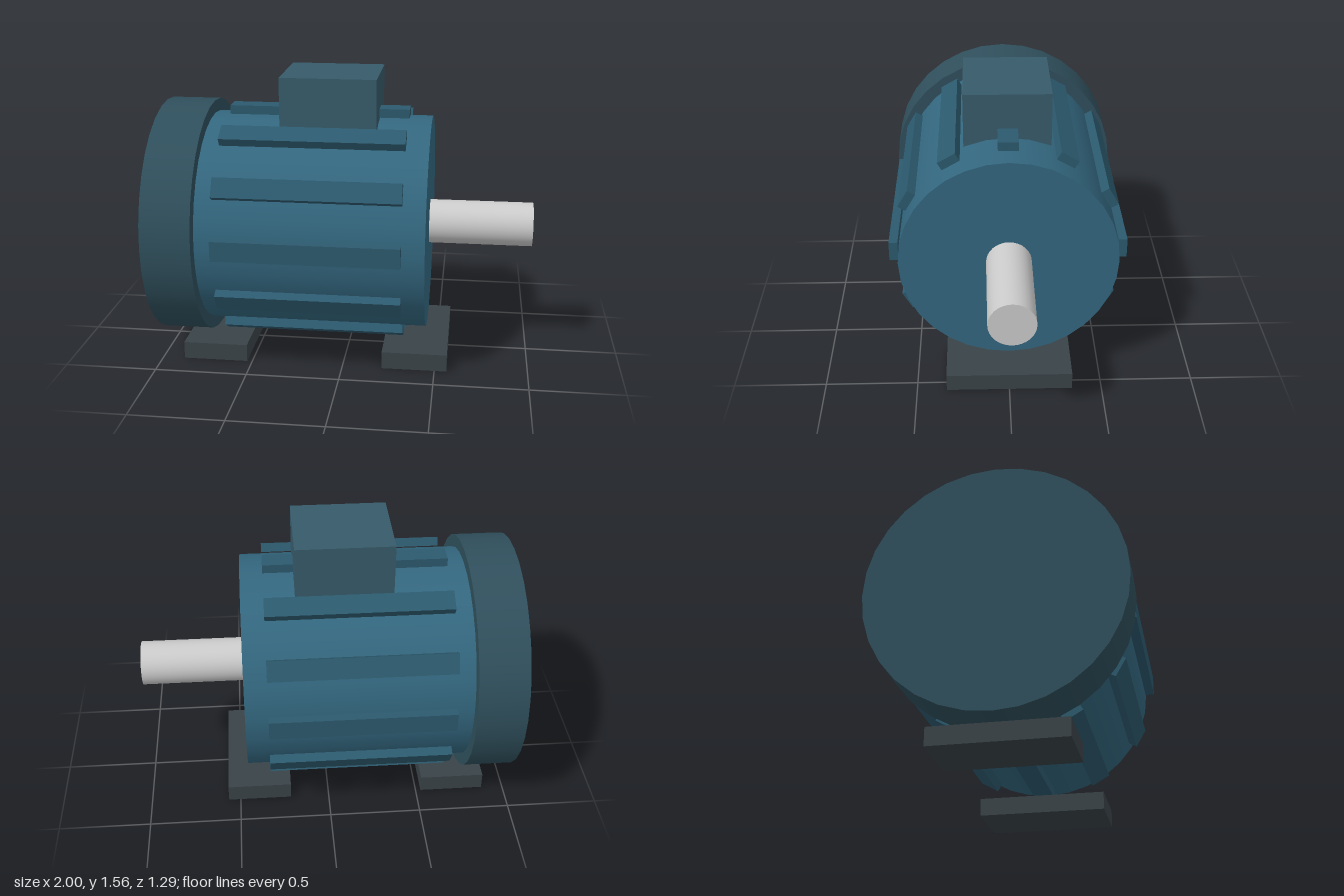
import * as THREE from 'three';

const AXIS_Y = 0.742;

const paint = (color) => new THREE.MeshStandardMaterial({ color });

export function createModel() {
  const motor = new THREE.Group();
  motor.name = 'electricMotor';

  const bodyPaint = paint(0x33677f);
  const finPaint = paint(0x2c5a6e);
  const coverPaint = paint(0x2f4f5c);
  const boxPaint = paint(0x375b6a);
  const footPaint = paint(0x394348);
  const steel = paint(0xcccccc);

  function add(parent, name, geometry, material, x, y, z) {
    const mesh = new THREE.Mesh(geometry, material);
    mesh.name = name;
    mesh.position.set(x, y, z);
    parent.add(mesh);
    return mesh;
  }

  // Cylinder lying along x between two stations, on the motor axis
  function drum(name, radius, x0, x1, material) {
    const geometry = new THREE.CylinderGeometry(radius, radius, x1 - x0, 32);
    geometry.rotateZ(-Math.PI / 2);
    return add(motor, name, geometry, material, (x0 + x1) / 2, AXIS_Y, 0);
  }

  drum('housing', 0.576, -0.74, 0.445, bodyPaint);
  drum('fanCover', 0.643, -1, -0.735, coverPaint);
  drum('shaft', 0.119, 0.4, 1, steel);

  // Twelve cooling fins around the housing
  const fins = new THREE.Group();
  fins.name = 'coolingFins';
  fins.position.set(-0.157, AXIS_Y, 0);
  motor.add(fins);
  const finGeometry = new THREE.BoxGeometry(0.966, 0.047, 0.106);
  for (let i = 0; i < 12; i++) {
    const angle = (i * Math.PI) / 6;
    const fin = add(fins, 'coolingFin', finGeometry, finPaint,
      0, 0.606 * Math.cos(angle), 0.606 * Math.sin(angle));
    fin.rotation.x = angle;
  }

  // Terminal box sunk into the top of the housing
  add(motor, 'terminalBox', new THREE.BoxGeometry(0.507, 0.31, 0.456), boxPaint,
    -0.088, 1.405, 0);

  // Mounting feet
  const footGeometry = new THREE.BoxGeometry(0.352, 0.095, 0.68);
  for (const x of [-0.704, 0.39]) {
    add(motor, 'mountingFoot', footGeometry, footPaint, x, 0.0475, 0);
  }

  return motor;
}
